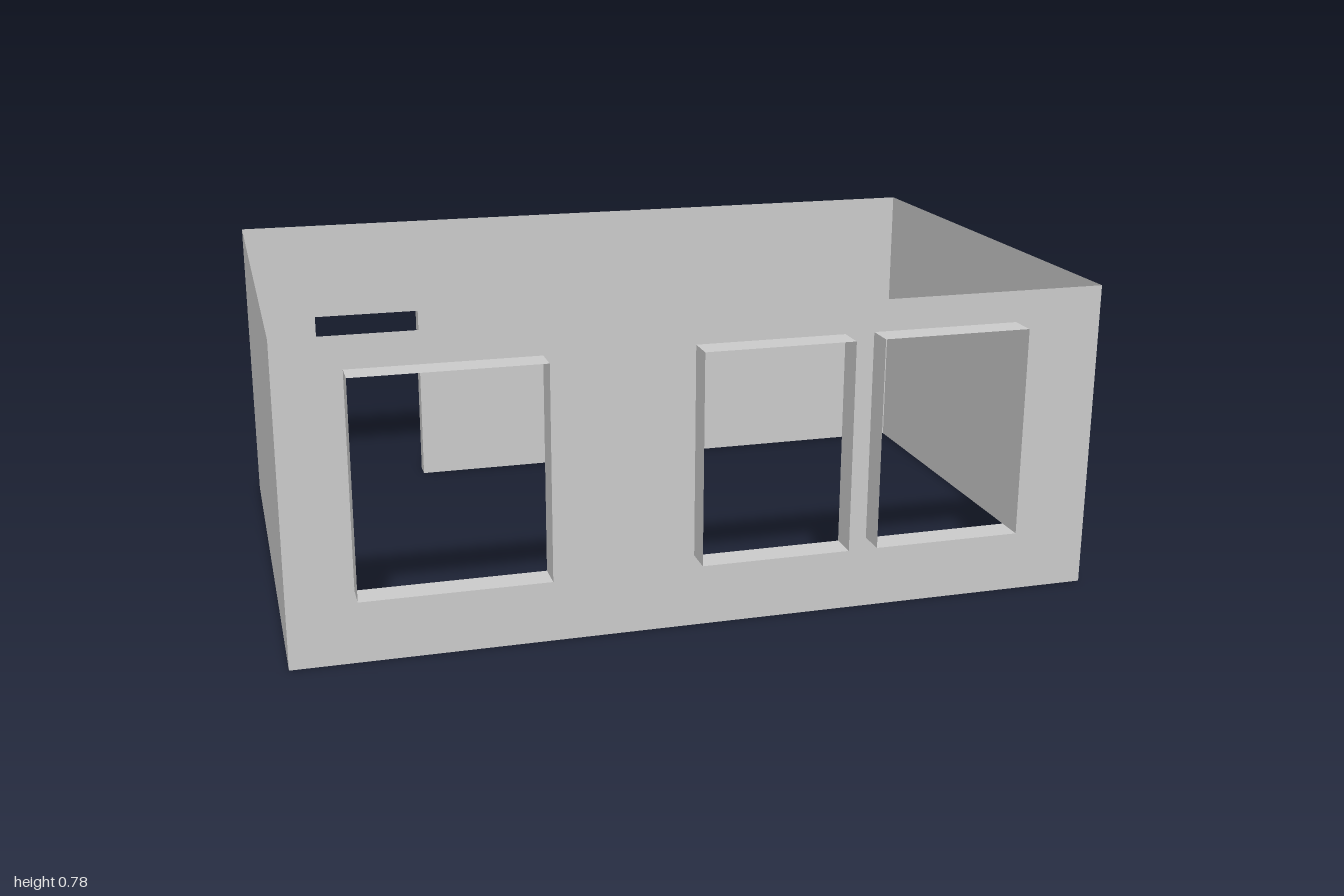
import * as THREE from 'three';

const H = 0.78, FRONT = 0.627, BACK = -0.647, OUT_FRONT = 0.697, OUT_BACK = -0.697;
const windows = [[-0.843, -0.396], [-0.036, 0.332], [0.405, 0.774]];
const SILL = 0.18, HEAD = 0.702;
const door = { x0: -0.81, x1: -0.509, top: 0.51 };

const material = new THREE.MeshStandardMaterial({ color: 0xcccccc, side: THREE.DoubleSide, flatShading: true });

const toPoints = (list) => list.map(([x, y]) => new THREE.Vector2(x, y));

function addMesh(parent, name, geometry) {
  const mesh = new THREE.Mesh(geometry, material);
  mesh.name = name;
  parent.add(mesh);
  return mesh;
}

// Thin strip that follows an outline in x/y and runs from depth z0 to z1
function reveal(outline, z0, z1) {
  const positions = [];
  for (let i = 0; i < outline.length - 1; i++) {
    const [ax, ay] = outline[i], [bx, by] = outline[i + 1];
    positions.push(ax, ay, z0, bx, by, z0, bx, by, z1);
    positions.push(ax, ay, z0, bx, by, z1, ax, ay, z1);
  }
  const geometry = new THREE.BufferGeometry();
  geometry.setAttribute('position', new THREE.Float32BufferAttribute(positions, 3));
  geometry.computeVertexNormals();
  return geometry;
}

export function createModel() {
  const room = new THREE.Group();
  room.name = 'room';

  // Front wall with three window openings, each with a projecting frame
  const frontShape = new THREE.Shape(toPoints([[-1, 0], [1, 0], [1, H], [-1, H]]));
  windows.forEach(([x0, x1], i) => {
    const loop = [[x0, SILL], [x0, HEAD], [x1, HEAD], [x1, SILL], [x0, SILL]];
    frontShape.holes.push(new THREE.Path(toPoints(loop)));
    addMesh(room, `windowFrame${i + 1}`, reveal(loop, FRONT, OUT_FRONT));
  });
  addMesh(room, 'frontWall', new THREE.ShapeGeometry(frontShape)).position.z = FRONT;

  // Back wall, notched for the doorway, which has jambs and a head but no threshold
  const { x0, x1, top } = door;
  const doorway = [[x0, 0], [x0, top], [x1, top], [x1, 0]];
  const backShape = new THREE.Shape(toPoints([[-1, 0], ...doorway, [1, 0], [1, H], [-1, H]]));
  const backGeometry = new THREE.ShapeGeometry(backShape);
  backGeometry.scale(1, 1, -1);
  addMesh(room, 'backWall', backGeometry).position.z = BACK;
  addMesh(room, 'doorFrame', reveal(doorway, BACK, OUT_BACK));

  // Plain side walls
  for (const [name, side] of [['leftWall', 1], ['rightWall', -1]]) {
    const wall = addMesh(room, name, new THREE.PlaneGeometry(FRONT - BACK, H));
    wall.rotation.y = side * Math.PI / 2;
    wall.position.set(side, H / 2, (FRONT + BACK) / 2);
  }

  return room;
}
